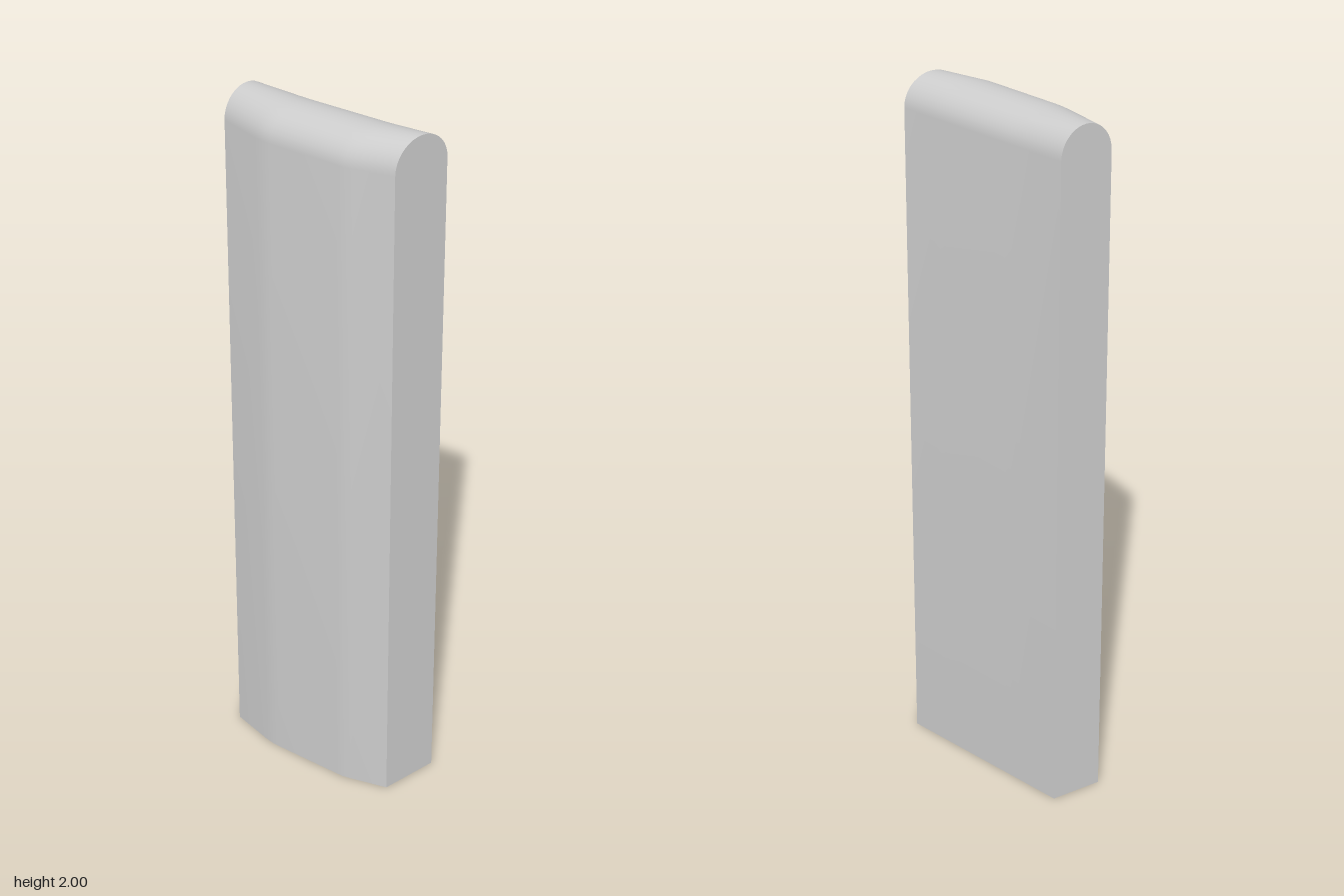
import * as THREE from 'three';
import { toCreasedNormals } from 'three/addons/utils/BufferGeometryUtils.js';

const HEIGHT = 2;
const ROUND = 0.085; // height of the rounded top
const ARC = 18;

// Plan stations along x: [x, front z]; the back is one straight slanted plane
const STATIONS = [
  [-0.259, 0.143], [-0.13, 0.146], [-0.1, 0.144], [-0.08, 0.14],
  [0.12, 0.0905], [0.14, 0.085], [0.16, 0.0755], [0.258, 0.022],
];
const backZ = (x) => -0.005 - (x + 0.259) * 0.2766;

// Upright cross-section with a half-elliptical top, from front foot to back foot
function section([x, front]) {
  const back = backZ(x);
  const mid = (front + back) / 2;
  const half = (front - back) / 2;
  const points = [new THREE.Vector3(x, 0, front)];
  for (let k = 0; k <= ARC; k++) {
    const a = (k / ARC) * Math.PI;
    points.push(new THREE.Vector3(x, HEIGHT - ROUND + ROUND * Math.sin(a), mid + half * Math.cos(a)));
  }
  points.push(new THREE.Vector3(x, 0, back));
  return points;
}

function loft(sections) {
  const positions = [];
  const tri = (...corners) => corners.forEach((p) => positions.push(p.x, p.y, p.z));
  const n = sections[0].length;
  // Walls, rounded top and flat underside
  for (let i = 0; i < sections.length - 1; i++) {
    const s = sections[i];
    const t = sections[i + 1];
    for (let j = 0; j < n; j++) {
      const k = (j + 1) % n;
      tri(s[j], t[j], t[k]);
      tri(s[j], t[k], s[k]);
    }
  }
  // Flat end faces
  const first = sections[0];
  const last = sections[sections.length - 1];
  for (let j = 1; j < n - 1; j++) {
    tri(first[0], first[j], first[j + 1]);
    tri(last[0], last[j + 1], last[j]);
  }
  const geometry = new THREE.BufferGeometry();
  geometry.setAttribute('position', new THREE.Float32BufferAttribute(positions, 3));
  return toCreasedNormals(geometry, THREE.MathUtils.degToRad(32));
}

export function createModel() {
  const group = new THREE.Group();
  group.name = 'roundedPanel';
  const panel = new THREE.Mesh(
    loft(STATIONS.map(section)),
    new THREE.MeshStandardMaterial({ color: 0xcccccc }),
  );
  panel.name = 'panelBody';
  group.add(panel);
  return group;
}
